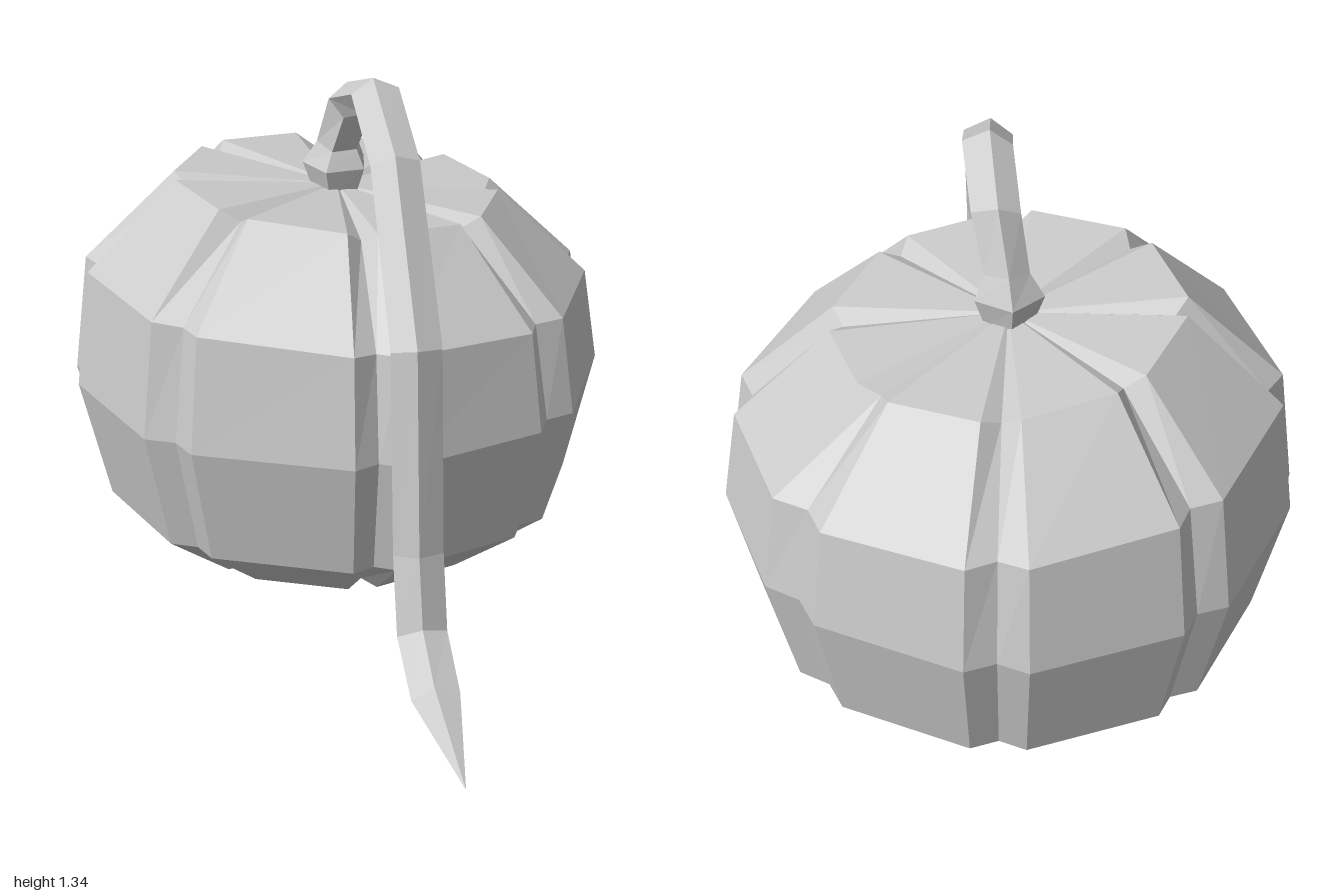
import * as THREE from 'three';

const material = new THREE.MeshStandardMaterial({ color: 0xcccccc, flatShading: true });

// Skins a stack of equal-length closed rings; single-point rings close the ends.
function loft(name, rings) {
  const pos = [];
  const tri = (a, b, c) => {
    if (a.distanceTo(b) < 1e-6 || b.distanceTo(c) < 1e-6 || c.distanceTo(a) < 1e-6) return;
    pos.push(...a.toArray(), ...b.toArray(), ...c.toArray());
  };
  for (let i = 0; i < rings.length - 1; i++) {
    const lo = rings[i], hi = rings[i + 1], n = lo.length;
    for (let j = 0; j < n; j++) {
      const k = (j + 1) % n;
      tri(lo[j], lo[k], hi[k]);
      tri(lo[j], hi[k], hi[j]);
    }
  }
  const geo = new THREE.BufferGeometry();
  geo.setAttribute('position', new THREE.Float32BufferAttribute(pos, 3));
  geo.computeVertexNormals();
  const mesh = new THREE.Mesh(geo, material);
  mesh.name = name;
  return mesh;
}

// Ribbed body: eight broad flat lobes separated by narrow grooves.
function createBody() {
  const centreZ = -0.325;
  // start and end angle of each lobe, in degrees from the front
  const lobes = [[2.6, 36], [48.5, 81.5], [95, 125], [140, 171.6],
    [184, 215.5], [227.4, 260.7], [271, 304.7], [317.4, 352.2]];
  // radius, height, groove radius factor, groove lift, sideways tilt
  const profile = [
    [0, 0.07, 1, 0, 0],
    [0.405, 0.05, 0.93, 0.015, 0],
    [0.6, 0.195, 0.95, 0, 0],
    [0.675, 0.505, 0.95, 0, 0],
    [0.64, 0.775, 0.94, -0.005, 0.05],
    [0.41, 1.0, 0.93, -0.025, 0.08],
    [0, 0.995, 1, 0, 0],
  ];
  const rings = profile.map(([r, y, grooveScale, grooveLift, tilt]) => {
    const ring = [];
    const add = (deg, radius, height) => {
      const a = THREE.MathUtils.degToRad(deg);
      const x = Math.sin(a) * radius;
      ring.push(new THREE.Vector3(x, height - tilt * x, centreZ + Math.cos(a) * radius));
    };
    lobes.forEach(([start, end], i) => {
      const next = i < 7 ? lobes[i + 1][0] : lobes[0][0] + 360;
      add(start, r, y);
      add(end, r, y);
      add((end + next) / 2, r * grooveScale, y + grooveLift);
    });
    return ring;
  });
  return loft('body', rings);
}

// Long five-sided stem that arches over the front and trails to a point.
function createStem() {
  // x, y, z, half width, half depth
  const path = [
    [0, 0.98, -0.325, 0.06, 0.065],
    [0, 1.05, -0.325, 0.085, 0.085],
    [0.005, 1.105, -0.32, 0.055, 0.055],
    [0.03, 1.225, -0.27, 0.06, 0.048],
    [0.05, 1.287, -0.09, 0.062, 0.045],
    [0.05, 1.18, 0.125, 0.062, 0.048],
    [0.048, 0.81, 0.365, 0.064, 0.048],
    [0.048, 0.305, 0.4, 0.064, 0.05],
    [0.048, 0.108, 0.45, 0.064, 0.048],
    [0.04, 0.035, 0.635, 0.062, 0.042],
    [0.02, 0.02, 1.0, 0, 0],
  ];
  const direction = (a, b) => new THREE.Vector2(b[2] - a[2], b[1] - a[1]).normalize();
  const rings = path.map((p, i) => {
    const before = direction(path[Math.max(i - 1, 0)], path[Math.max(i, 1)]);
    const after = i < path.length - 1 ? direction(p, path[i + 1]) : before;
    const t = before.clone().add(after).normalize();
    const mitre = 1 / Math.max(t.dot(after), 0.7);
    const ring = [];
    for (let j = 0; j < 5; j++) {
      const a = j / 5 * Math.PI * 2 + 0.12;
      const out = Math.cos(a) * p[4] * mitre;
      ring.push(new THREE.Vector3(p[0] - Math.sin(a) * p[3], p[1] + t.x * out, p[2] - t.y * out));
    }
    return ring;
  });
  const [x, y, z] = path[0];
  rings.unshift(rings[0].map(() => new THREE.Vector3(x, y, z)));
  return loft('stem', rings);
}

export function createModel() {
  const group = new THREE.Group();
  group.name = 'pumpkin';
  group.add(createBody(), createStem());
  return group;
}
